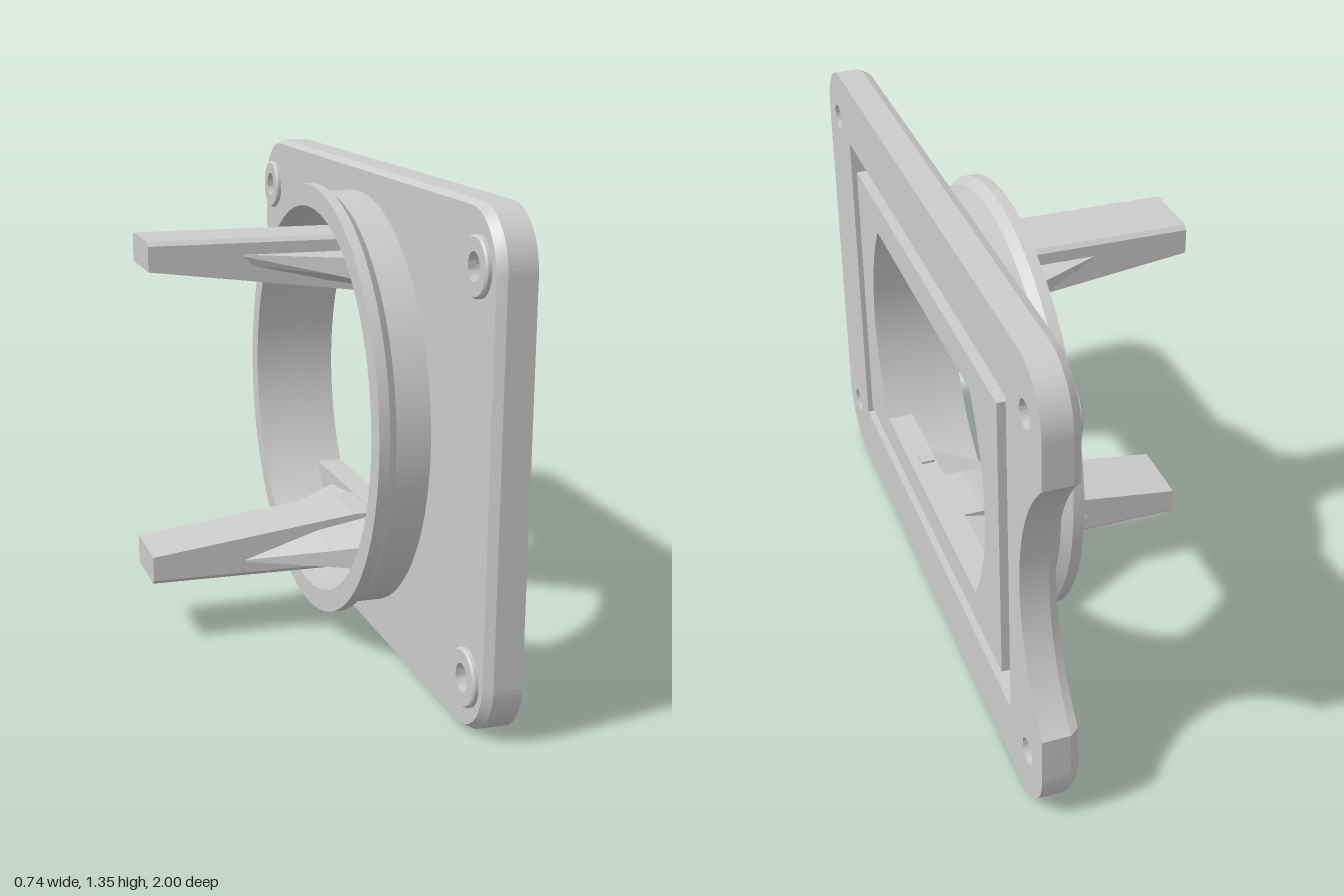
import * as THREE from 'three';
import { toCreasedNormals } from 'three/addons/utils/BufferGeometryUtils.js';

const CY = 0.6725; // height of the common axis, which runs along x
const material = new THREE.MeshStandardMaterial({ color: 0xcccccc });

function add(parent, name, geometry) {
  const mesh = new THREE.Mesh(geometry, material);
  mesh.name = name;
  parent.add(mesh);
  return mesh;
}

// Shapes are drawn with u = -z and v = y - CY, then extruded from x0 to x1.
function slab(shape, x0, x1, rule) {
  const g = new THREE.ExtrudeGeometry(shape, { depth: x1 - x0, bevelEnabled: false, curveSegments: 32 });
  if (rule) {
    const p = g.attributes.position;
    for (let i = 0; i < p.count; i++) rule(p, i);
  }
  g.rotateY(Math.PI / 2);
  g.translate(x0, 0, 0);
  return toCreasedNormals(g, 0.5);
}

// Turned part around the x axis; points are [radius, x].
function turned(points, segments) {
  const g = new THREE.LatheGeometry(points.map(([r, x]) => new THREE.Vector2(r, x)), segments);
  g.rotateZ(-Math.PI / 2);
  return toCreasedNormals(g, 0.4);
}

// Solid lofted along x; each station is { x, pts: [[z, y], ...] }.
function loft(stations) {
  const v = [], n = stations[0].pts.length, last = stations.length - 1;
  const put = (i, j) => {
    const [z, y] = stations[i].pts[j % n];
    v.push(stations[i].x, y - CY, z);
  };
  for (let i = 0; i < last; i++) {
    for (let j = 0; j < n; j++) {
      put(i, j); put(i + 1, j); put(i + 1, j + 1);
      put(i, j); put(i + 1, j + 1); put(i, j + 1);
    }
  }
  for (let k = 1; k < n - 1; k++) {
    put(0, 0); put(0, k); put(0, k + 1);
    put(last, 0); put(last, k + 1); put(last, k);
  }
  const g = new THREE.BufferGeometry();
  g.setAttribute('position', new THREE.Float32BufferAttribute(v, 3));
  g.computeVertexNormals();
  return g;
}

const screws = [[-0.885, -0.5225], [0.885, -0.5225], [-0.885, 0.5225], [0.885, 0.5225]];

// Rounded plate with a circular bite in one short side and four screw holes
function plateShape() {
  const w = 1, h = CY, r = 0.16, biteR = 0.531, biteX = 1.366;
  const a = Math.asin(0.385 / biteR);
  const s = new THREE.Shape();
  s.moveTo(-w + r, -h);
  s.lineTo(w - r, -h);
  s.absarc(w - r, -h + r, r, -Math.PI / 2, 0, false);
  s.absarc(biteX, 0, biteR, Math.PI + a, Math.PI - a, true);
  s.absarc(w - r, h - r, r, 0, Math.PI / 2, false);
  s.absarc(-w + r, h - r, r, Math.PI / 2, Math.PI, false);
  s.absarc(-w + r, -h + r, r, Math.PI, Math.PI * 1.5, false);
  for (const [u, v] of screws) s.holes.push(new THREE.Path().absarc(u, v, 0.037, 0, Math.PI * 2, true));
  return s;
}

function rectangle(Type, w, h) {
  return new Type([[-w, -h], [w, -h], [w, h], [-w, h]].map(([x, y]) => new THREE.Vector2(x, y)));
}

// Round window with flat top and bottom
function windowPath() {
  const r = 0.56, a = Math.asin(0.33 / r);
  const p = new THREE.Path();
  p.absarc(0, 0, r, -a, a, false);
  p.absarc(0, 0, r, Math.PI - a, Math.PI + a, false);
  p.closePath();
  return p;
}

function makeArm() {
  const arm = new THREE.Group();
  // Long tongue with a sloping inner face and chamfered outer edges
  const w = 0.105, c = 0.012, b = 0.18;
  const tongue = [[-0.37, 0.262], [0.235, 0.34], [0.3, 0.34]].map(([x, t]) => ({
    x, pts: [[-w + c, b], [w - c, b], [w, b + c], [w, t], [-w, t], [-w, b + c]],
  }));
  add(arm, 'armTongue', loft(tongue));
  // Flared gussets on both sides
  for (const s of [1, -1]) {
    const gusset = [[-0.1, 0.105, 0.23, 0.255], [0.12, 0.215, 0.272, 0.305], [0.3, 0.305, 0.31, 0.337]]
      .map(([x, z, outer, inner]) => {
        const pts = [[0.09 * s, 0.225], [z * s, 0.225], [z * s, outer], [0.09 * s, inner]];
        return { x, pts: s > 0 ? pts : pts.reverse() };
      });
    add(arm, 'armGusset', loft(gusset));
  }
  return arm;
}

export function createModel() {
  const model = new THREE.Group();
  model.name = 'mountingPlate';
  const body = new THREE.Group();
  body.name = 'body';
  body.position.y = CY;
  model.add(body);

  // Back layer: chamfered outline, round bore
  const back = plateShape();
  back.holes.push(new THREE.Path().absarc(0, 0, 0.56, 0, Math.PI * 2, true));
  add(body, 'plateBack', slab(back, 0.27, 0.293, (p, i) => {
    const x = p.getX(i), y = p.getY(i);
    const atScrew = screws.some(([u, v]) => Math.hypot(x - u, y - v) < 0.06);
    if (p.getZ(i) < 0.001 && Math.hypot(x, y) > 0.62 && !atScrew) p.setXY(i, x * 0.985, y * 0.985);
  }));

  // Middle layer: floor of the groove
  const middle = plateShape();
  middle.holes.push(windowPath());
  add(body, 'plateWeb', slab(middle, 0.293, 0.308));

  // Front rim and inner frame, with the rectangular groove between them
  const rim = plateShape();
  rim.holes.push(rectangle(THREE.Path, 0.75, 0.488));
  add(body, 'plateRim', slab(rim, 0.308, 0.37));
  const frame = rectangle(THREE.Shape, 0.678, 0.425);
  frame.holes.push(windowPath());
  add(body, 'innerFrame', slab(frame, 0.308, 0.37));

  // Round neck with a lipped end
  add(body, 'neck', turned([
    [0.56, 0.12], [0.6225, 0.12], [0.6225, 0.15], [0.6, 0.175], [0.6, 0.28], [0.56, 0.28], [0.56, 0.12],
  ], 96));

  // Screw bosses
  for (const [u, v] of screws) {
    const boss = add(body, 'screwBoss', turned([
      [0.037, 0.255], [0.072, 0.255], [0.077, 0.26], [0.077, 0.275], [0.037, 0.275], [0.037, 0.255],
    ], 32));
    boss.position.set(0, v, -u);
  }

  // Two opposed arms
  const lower = makeArm();
  lower.name = 'lowerArm';
  const upper = makeArm();
  upper.name = 'upperArm';
  upper.rotation.x = Math.PI;
  body.add(lower, upper);

  // Small locating nub on the window sill
  const nub = add(body, 'sillNub', new THREE.BoxGeometry(0.04, 0.02, 0.045));
  nub.position.set(0.32, 0.34 - CY, 0.2);

  return model;
}
